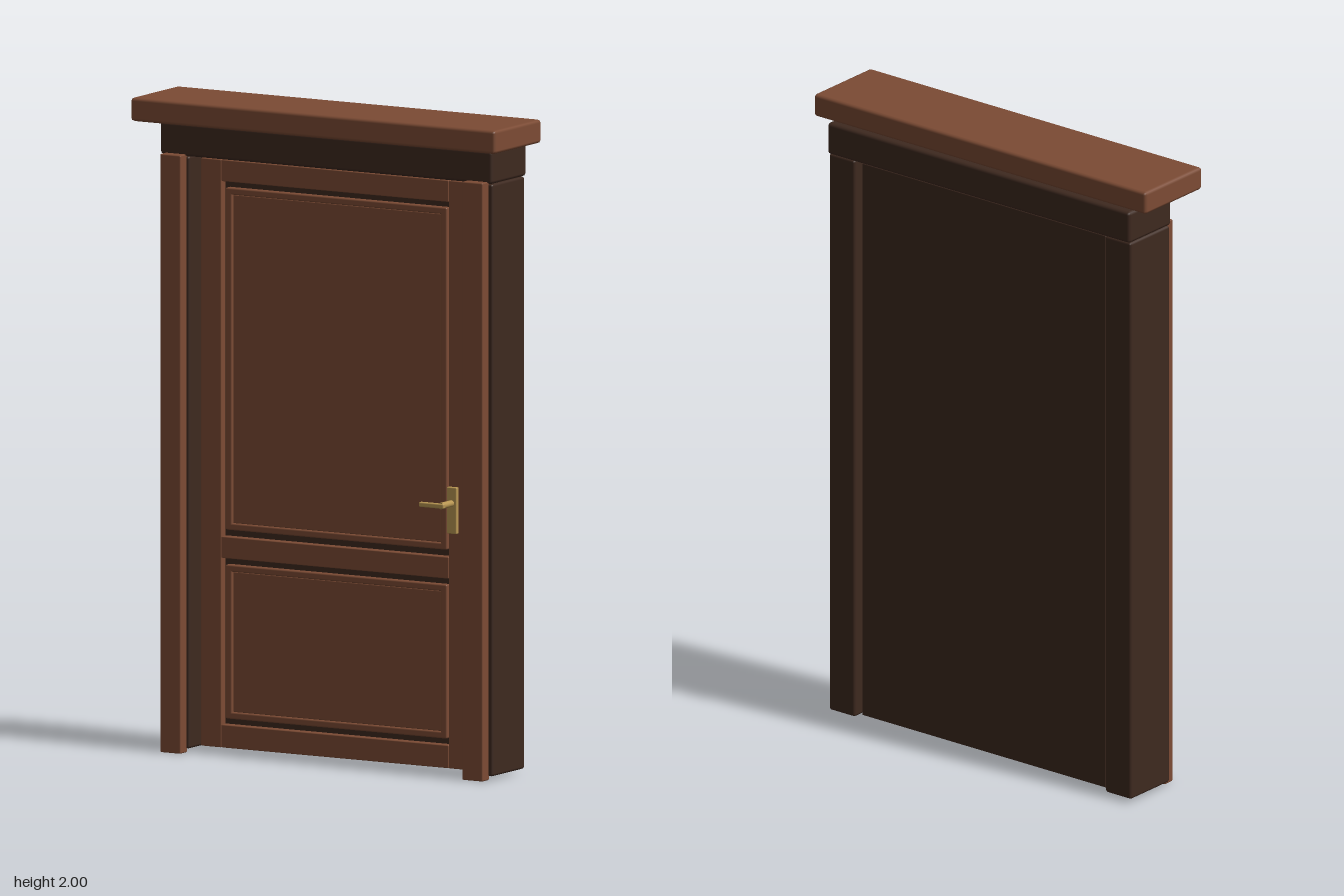
import * as THREE from 'three';
import { RoundedBoxGeometry } from 'three/addons/geometries/RoundedBoxGeometry.js';

const brown = new THREE.MeshStandardMaterial({ color: 0x7c4b34 });
brown.name = 'warm wood';
const dark = new THREE.MeshStandardMaterial({ color: 0x3e291f });
dark.name = 'dark wood';
const brass = new THREE.MeshStandardMaterial({ color: 0xb89652 });
brass.name = 'brass';

// Box given by its lower and upper bounds, with slightly eased edges
function block(parent, name, material, [x0, x1], [y0, y1], [z0, z1], ease = 0.003) {
  const geometry = new RoundedBoxGeometry(x1 - x0, y1 - y0, z1 - z0, 1, ease);
  const mesh = new THREE.Mesh(geometry, material);
  mesh.name = name;
  mesh.position.set((x0 + x1) / 2, (y0 + y1) / 2, (z0 + z1) / 2);
  parent.add(mesh);
  return mesh;
}

function group(parent, name) {
  const g = new THREE.Group();
  g.name = name;
  parent.add(g);
  return g;
}

// Raised panel edged by four moulding strips, set inside a door opening
function addPanel(door, name, y0, y1) {
  const g = group(door, name);
  const outer = 0.39, inner = 0.367, strip = 0.021;
  const depth = [-0.03, 0.003];
  block(g, 'panelField', brown, [-inner, inner], [y0 + strip, y1 - strip], [-0.03, -0.004]);
  block(g, 'topMoulding', brown, [-outer, outer], [y1 - strip, y1], depth, 0.005);
  block(g, 'bottomMoulding', brown, [-outer, outer], [y0, y0 + strip], depth, 0.005);
  block(g, 'rightMoulding', brown, [-outer, -inner], [y0, y1], depth, 0.005);
  block(g, 'leftMoulding', brown, [inner, outer], [y0, y1], depth, 0.005);
}

export function createModel() {
  const model = new THREE.Group();
  model.name = 'panelledDoor';

  // Frame: jambs, narrower casings in front of them, lintel and cap
  const frame = group(model, 'frame');
  for (const [side, s] of [['left', 1], ['right', -1]]) {
    const span = (a, b) => (s > 0 ? [a, b] : [-b, -a]);
    block(frame, side + 'Jamb', dark, span(0.484, 0.584), [0.015, 1.822], [-0.132, 0.056], 0.008);
    block(frame, side + 'Casing', brown, span(0.495, 0.568), [0.003, 1.828], [0.05, 0.09], 0.004);
  }
  block(frame, 'lintel', dark, [-0.585, 0.585], [1.822, 1.923], [-0.14, 0.062], 0.01);
  block(frame, 'cap', brown, [-0.642, 0.642], [1.928, 2], [-0.133, 0.14], 0.01);

  // Door leaf: backing, stiles and rails
  const door = group(model, 'door');
  const face = [-0.03, 0.01];
  block(door, 'doorBacking', dark, [-0.471, 0.471], [0.02, 1.812], [-0.113, -0.016]);
  block(door, 'rightStile', brown, [-0.472, -0.4], [0.02, 1.813], face);
  block(door, 'leftStile', brown, [0.4, 0.472], [0.02, 1.813], face);
  const rails = [['bottomRail', 0.02, 0.09], ['lockRail', 0.598, 0.664], ['topRail', 1.747, 1.813]];
  for (const [name, y0, y1] of rails) block(door, name, brown, [-0.4, 0.4], [y0, y1], face);

  // Panels
  addPanel(door, 'lowerPanel', 0.108, 0.578);
  addPanel(door, 'upperPanel', 0.684, 1.728);

  // Hinge leaves in the gap beside the door
  for (const y of [0.41, 1.42]) {
    block(model, 'hinge', brown, [-0.49, -0.468], [y - 0.05, y + 0.05], [-0.07, -0.025]);
  }

  // Handle: plate, spindle and lever
  const handle = group(model, 'handle');
  block(handle, 'handlePlate', brass, [0.4, 0.435], [0.738, 0.88], [0.004, 0.022]);
  const spindle = new THREE.Mesh(new THREE.CylinderGeometry(0.01, 0.01, 0.065, 16), brass);
  spindle.name = 'spindle';
  spindle.rotation.x = Math.PI / 2;
  spindle.position.set(0.417, 0.831, 0.05);
  handle.add(spindle);
  block(handle, 'lever', brass, [0.341, 0.429], [0.823, 0.838], [0.073, 0.088], 0.004);

  return model;
}
